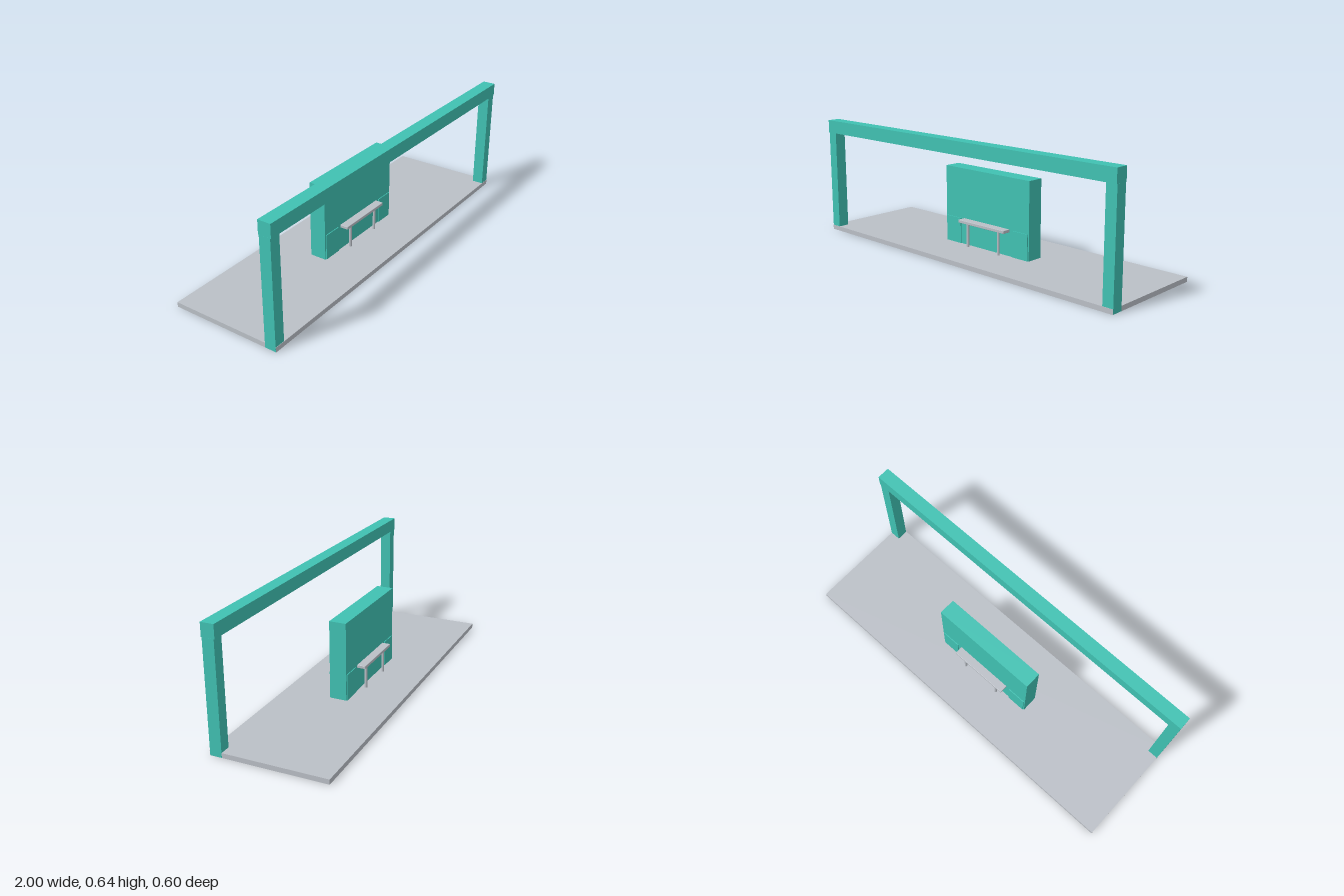
import * as THREE from 'three';
import { RoundedBoxGeometry } from 'three/addons/geometries/RoundedBoxGeometry.js';

export function createModel() {
  const model = new THREE.Group();
  model.name = 'shelter';

  const teal = new THREE.MeshStandardMaterial({ color: 0x40c1b2 });
  teal.name = 'teal paint';
  const grey = new THREE.MeshStandardMaterial({ color: 0xbabfc6 });
  grey.name = 'light grey';

  const add = (name, geometry, material, x, y, z) => {
    const mesh = new THREE.Mesh(geometry, material);
    mesh.name = name;
    mesh.position.set(x, y, z);
    model.add(mesh);
  };
  // Box spanning y0 to y1, centred on x and z
  const block = (name, material, w, d, y0, y1, x = 0, z = 0) =>
    add(name, new THREE.BoxGeometry(w, y1 - y0, d), material, x, (y0 + y1) / 2, z);

  // Ground slab
  block('platform', grey, 2, 0.6, 0, 0.025);

  // Front portal frame
  block('beam', teal, 2, 0.069, 0.572, 0.642, 0, 0.268);
  for (const side of [-1, 1]) {
    block('post', teal, 0.058, 0.061, 0.0005, 0.573, side * 0.9715, 0.268);
  }

  // Central wall with a slightly proud foot at each end
  block('wall', teal, 0.596, 0.09, 0.001, 0.44);
  for (const side of [-1, 1]) {
    block('wallFoot', teal, 0.104, 0.099, 0.002, 0.165, side * 0.239);
  }

  // Bench on both faces of the wall
  const legGeometry = new THREE.CylinderGeometry(0.0072, 0.0072, 0.13, 16);
  for (const face of [-1, 1]) {
    const seat = new RoundedBoxGeometry(0.33, 0.016, 0.05, 2, 0.002);
    add('benchSeat', seat, grey, 0, 0.16, face * 0.065);
    for (const side of [-1, 1]) {
      add('benchLeg', legGeometry, grey, side * 0.111, 0.088, face * 0.07);
    }
  }

  return model;
}
